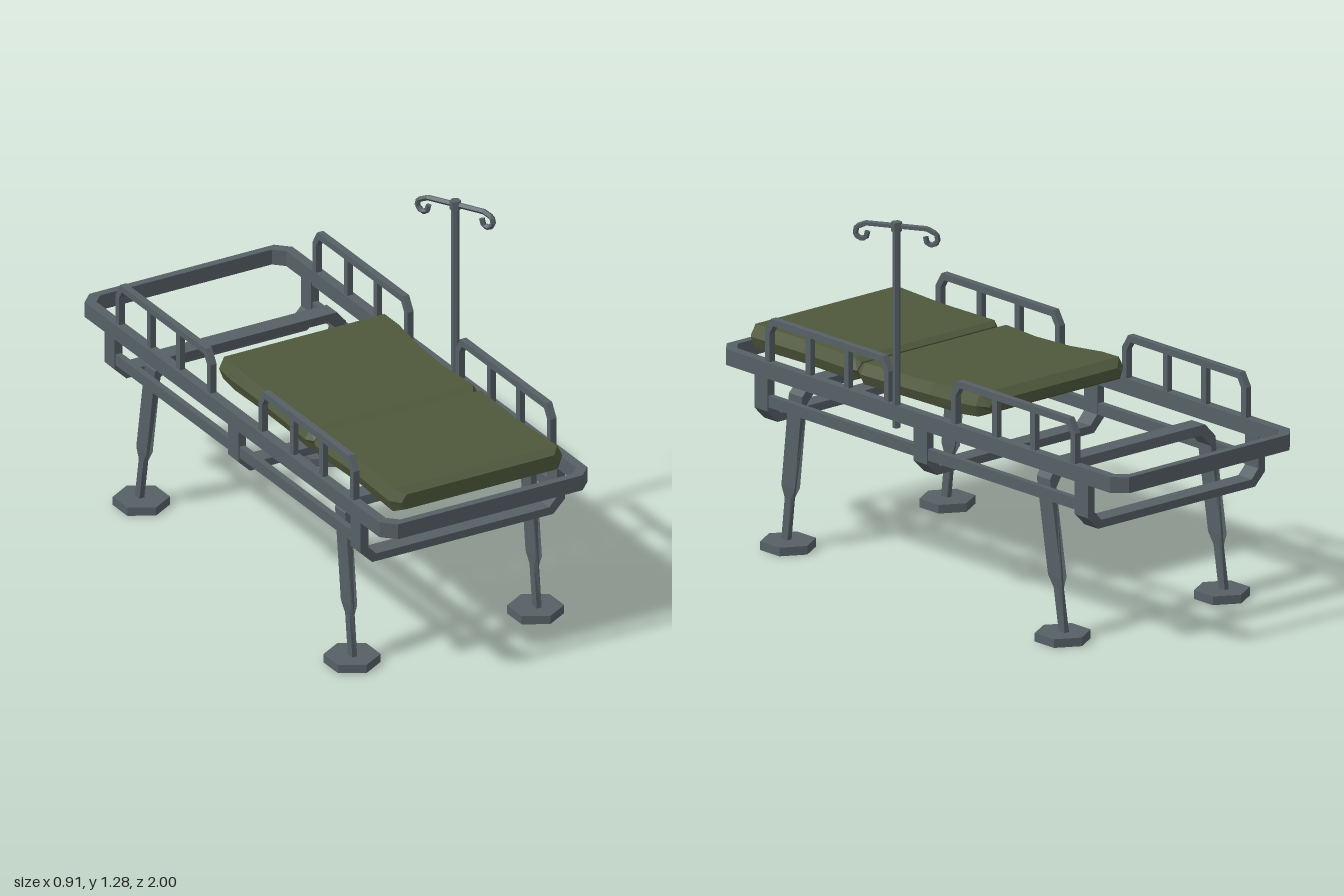
import * as THREE from 'three';

const steel = new THREE.MeshStandardMaterial({ color: 0x566065 });
steel.name = 'grey steel';
const canvas = new THREE.MeshStandardMaterial({ color: 0x4f583c });
canvas.name = 'olive canvas';

const CX = -0.02; // centre line of the bed

// faceted normals
function flat(geo) {
  const g = geo.index ? geo.toNonIndexed() : geo;
  g.computeVertexNormals();
  return g;
}

function add(parent, name, geo, mat, x = 0, y = 0, z = 0) {
  const m = new THREE.Mesh(geo, mat);
  m.name = name;
  m.position.set(x, y, z);
  parent.add(m);
  return m;
}

const toPoints = (pts) => pts.map(([a, b]) => new THREE.Vector2(a, b));

// U-shaped bar: half outline runs from the outer middle round the open end to the inner middle,
// is mirrored in x and extruded symmetrically about z = 0
function symmetric(half, depth) {
  const mirrored = half.map(([x, y]) => [-x, y]).reverse();
  const shape = new THREE.Shape(toPoints([...half, ...mirrored]));
  const g = new THREE.ExtrudeGeometry(shape, { depth, bevelEnabled: false });
  return g.translate(0, 0, -depth / 2);
}

const chamferedRect = (w, h, c) => [[w - c, -h], [w, -h + c], [w, h - c], [w - c, h],
  [-w + c, h], [-w, h - c], [-w, -h + c], [-w + c, -h]];

// cushion lofted through sections [z, half width, bottom, top], listed with the section ring counter-clockwise
function cushion(sections) {
  const pos = [], idx = [], n = 6;
  for (const [z, w, b, t] of sections) {
    const mid = b + (t - b) * 0.5;
    for (const [x, y] of [[w - 0.015, b], [w, mid], [w - 0.02, t], [-w + 0.02, t], [-w, mid], [-w + 0.015, b]]) pos.push(x, y, z);
  }
  const last = (sections.length - 1) * n;
  for (let s = 0; s < last; s += n) {
    for (let i = 0; i < n; i++) {
      const j = (i + 1) % n;
      idx.push(s + i, s + j, s + n + j, s + i, s + n + j, s + n + i);
    }
  }
  for (let i = 1; i < n - 1; i++) {
    idx.push(0, i + 1, i);
    idx.push(last, last + i, last + i + 1);
  }
  const g = new THREE.BufferGeometry();
  g.setAttribute('position', new THREE.Float32BufferAttribute(pos, 3));
  g.setIndex(idx);
  return flat(g);
}

// inverted U leg frame: leans along z and narrows below the sleeve
function legGeometry(topZ, slope) {
  const g = symmetric([[0.33, 0.595], [0.369, 0.55], [0.369, 0.22], [0.366, 0.18], [0.366, 0.03],
    [0.347, 0.03], [0.347, 0.18], [0.345, 0.22], [0.345, 0.52], [0.31, 0.562]], 1);
  const p = g.attributes.position;
  for (let i = 0; i < p.count; i++) {
    const y = p.getY(i);
    const width = y < 0.2 ? 0.03 : 0.066;
    p.setZ(i, p.getZ(i) * width + topZ + (0.59 - y) * slope);
  }
  return flat(g);
}

export function createModel() {
  const bed = new THREE.Group();
  bed.name = 'fieldBed';

  // main frame ring
  const ring = new THREE.Shape(toPoints(chamferedRect(0.402, 1, 0.045)));
  ring.holes.push(new THREE.Path(toPoints(chamferedRect(0.367, 0.972, 0.035))));
  const ringGeo = new THREE.ExtrudeGeometry(ring, { depth: 0.055, bevelEnabled: false });
  ringGeo.rotateX(-Math.PI / 2);
  add(bed, 'mainFrame', ringGeo, steel, CX, 0.59, 0);

  // U brackets hanging under the frame
  const bracket = symmetric([[0.35, 0.427], [0.395, 0.472], [0.395, 0.6], [0.365, 0.6], [0.365, 0.487], [0.335, 0.455]], 0.066);
  for (const z of [0.788, -0.004, -0.805]) add(bed, 'underBracket', bracket, steel, CX, 0, z);

  // lower side rails
  for (const s of [-1, 1]) {
    add(bed, 'lowerRail', new THREE.BoxGeometry(0.022, 0.04, 1.6), steel, CX + s * 0.38, 0.506, -0.008);
  }

  // leg frames with hexagonal feet
  const foot = flat(new THREE.CylinderGeometry(0.095, 0.095, 0.03, 6));
  for (const [topZ, slope, footZ] of [[0.64, 0.115, 0.695], [-0.58, -0.17, -0.67]]) {
    add(bed, 'legFrame', legGeometry(topZ, slope), steel, CX, 0, 0);
    for (const s of [-1, 1]) add(bed, 'foot', foot, steel, CX + 0.002 + s * 0.355, 0.018, footZ);
  }

  // guard rails: chamfered hoop with two uprights
  const hoop = symmetric([[0.278, 0.158], [0.308, 0.11], [0.308, 0], [0.285, 0], [0.285, 0.105], [0.266, 0.135]], 0.024);
  const upright = new THREE.BoxGeometry(0.024, 0.14, 0.02);
  for (const sx of [-1, 1]) {
    for (const sz of [-1, 1]) {
      const guard = new THREE.Group();
      guard.name = 'guardRail';
      guard.position.set(CX + sx * 0.381, 0.64, sz * 0.463);
      guard.rotation.y = -Math.PI / 2;
      add(guard, 'guardHoop', hoop, steel);
      for (const u of [-0.095, 0.095]) add(guard, 'guardUpright', upright, steel, u, 0.07, 0);
      bed.add(guard);
    }
  }

  // mattress in two cushions
  add(bed, 'frontCushion', cushion([[0.394, 0.318, 0.66, 0.708], [0.415, 0.332, 0.644, 0.722], [0.66, 0.324, 0.644, 0.723],
    [0.905, 0.335, 0.644, 0.726], [0.936, 0.305, 0.656, 0.71]]), canvas, CX);
  add(bed, 'backCushion', cushion([[-0.238, 0.295, 0.68, 0.715], [-0.205, 0.33, 0.662, 0.74], [-0.12, 0.333, 0.653, 0.737],
    [0.03, 0.324, 0.647, 0.724], [0.2, 0.324, 0.644, 0.717], [0.36, 0.335, 0.644, 0.718], [0.39, 0.318, 0.66, 0.705]]), canvas, CX);

  // drip stand with two hooks, turned about its pole
  const stand = new THREE.Group();
  stand.name = 'dripStand';
  stand.position.set(0.37, 0, 0.12);
  stand.rotation.y = -Math.atan2(0.265, 0.152);
  add(stand, 'pole', flat(new THREE.CylinderGeometry(0.014, 0.014, 0.7, 6)), steel, 0, 0.915, 0);
  add(stand, 'poleCap', flat(new THREE.CylinderGeometry(0.019, 0.019, 0.032, 6)), steel, 0, 1.264, 0);
  for (const s of [-1, 1]) {
    const path = new THREE.CurvePath();
    const pts = [[0, 1.265], [0.108, 1.265], [0.14, 1.25], [0.145, 1.225], [0.127, 1.21], [0.107, 1.215], [0.102, 1.235]]
      .map(([u, y]) => new THREE.Vector3(s * u, y, 0));
    for (let i = 1; i < pts.length; i++) path.add(new THREE.LineCurve3(pts[i - 1], pts[i]));
    add(stand, 'hook', flat(new THREE.TubeGeometry(path, 24, 0.01, 5, false)), steel);
    const tip = add(stand, 'hookTip', flat(new THREE.CylinderGeometry(0.01, 0.01, 0.006, 5)), steel, s * 0.102, 1.235, 0);
    tip.rotation.z = s * 0.27;
  }
  bed.add(stand);

  return bed;
}
